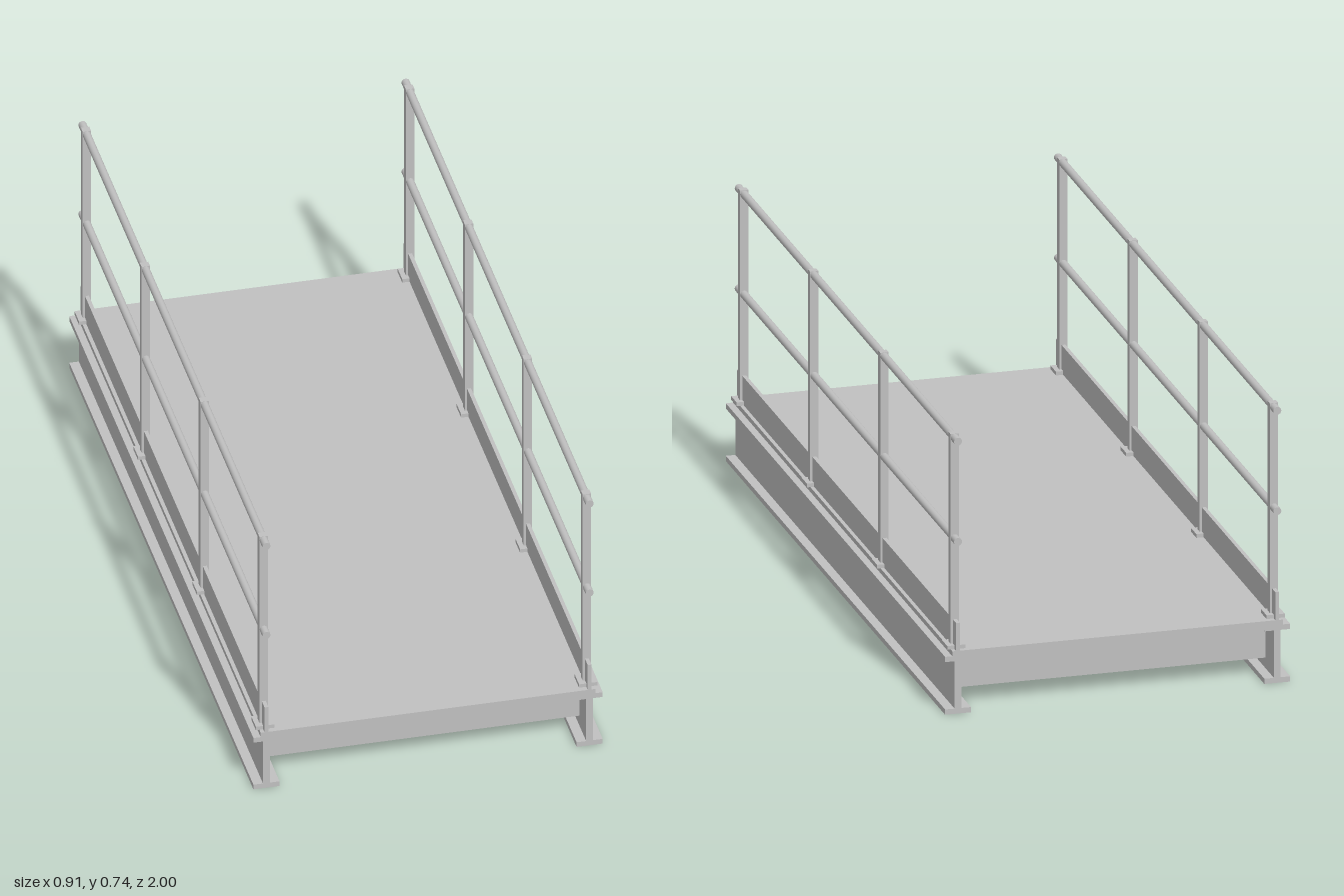
import * as THREE from 'three';

const steel = new THREE.MeshStandardMaterial({ color: 0xc0c0c0 });
steel.name = 'grey steel';

const LENGTH = 2;
const SIDE_X = 0.42;

function add(parent, name, geometry, x, y, z) {
  const mesh = new THREE.Mesh(geometry, steel);
  mesh.name = name;
  mesh.position.set(x, y, z);
  parent.add(mesh);
  return mesh;
}

// I-section swept along the walkway
function girderGeometry() {
  const flange = 0.034, web = 0.009, t = 0.014, h = 0.155;
  const right = [[flange, 0], [flange, t], [web, t], [web, h - t], [flange, h - t], [flange, h]];
  const left = right.map(([x, y]) => [-x, y]).reverse();
  const shape = new THREE.Shape([...right, ...left].map(([x, y]) => new THREE.Vector2(x, y)));
  const geometry = new THREE.ExtrudeGeometry(shape, { depth: LENGTH, bevelEnabled: false });
  return geometry.translate(0, 0, -LENGTH / 2);
}

export function createModel() {
  const model = new THREE.Group();
  model.name = 'walkway';

  // Deck plate and the cross beams below it
  add(model, 'deck', new THREE.BoxGeometry(0.87, 0.025, LENGTH), 0, 0.1555, 0);
  const beam = new THREE.BoxGeometry(0.822, 0.091, 0.09);
  for (let i = -2; i <= 2; i++) add(model, 'crossBeam', beam, 0, 0.0885, i * 0.44);

  const girder = girderGeometry();
  const toeBoard = new THREE.BoxGeometry(0.01, 0.075, LENGTH);
  const rail = new THREE.CylinderGeometry(0.0105, 0.0105, LENGTH, 24).rotateX(Math.PI / 2);
  const post = new THREE.BoxGeometry(0.022, 0.572, 0.02);
  const basePlate = new THREE.BoxGeometry(0.048, 0.01, 0.05);

  for (const side of [-1, 1]) {
    const x = side * SIDE_X;
    add(model, 'girder', girder, x, 0, 0);

    // Guardrail on each edge
    const guardrail = new THREE.Group();
    guardrail.name = side > 0 ? 'leftGuardrail' : 'rightGuardrail';
    model.add(guardrail);
    add(guardrail, 'toeBoard', toeBoard, x, 0.2055, 0);
    add(guardrail, 'handrail', rail, x, 0.729, 0);
    add(guardrail, 'midRail', rail, x, 0.46, 0);
    for (const z of [-0.96, -0.32, 0.32, 0.96]) {
      add(guardrail, 'post', post, x, 0.454, z);
      add(guardrail, 'basePlate', basePlate, x, 0.173, z);
    }
  }
  return model;
}
